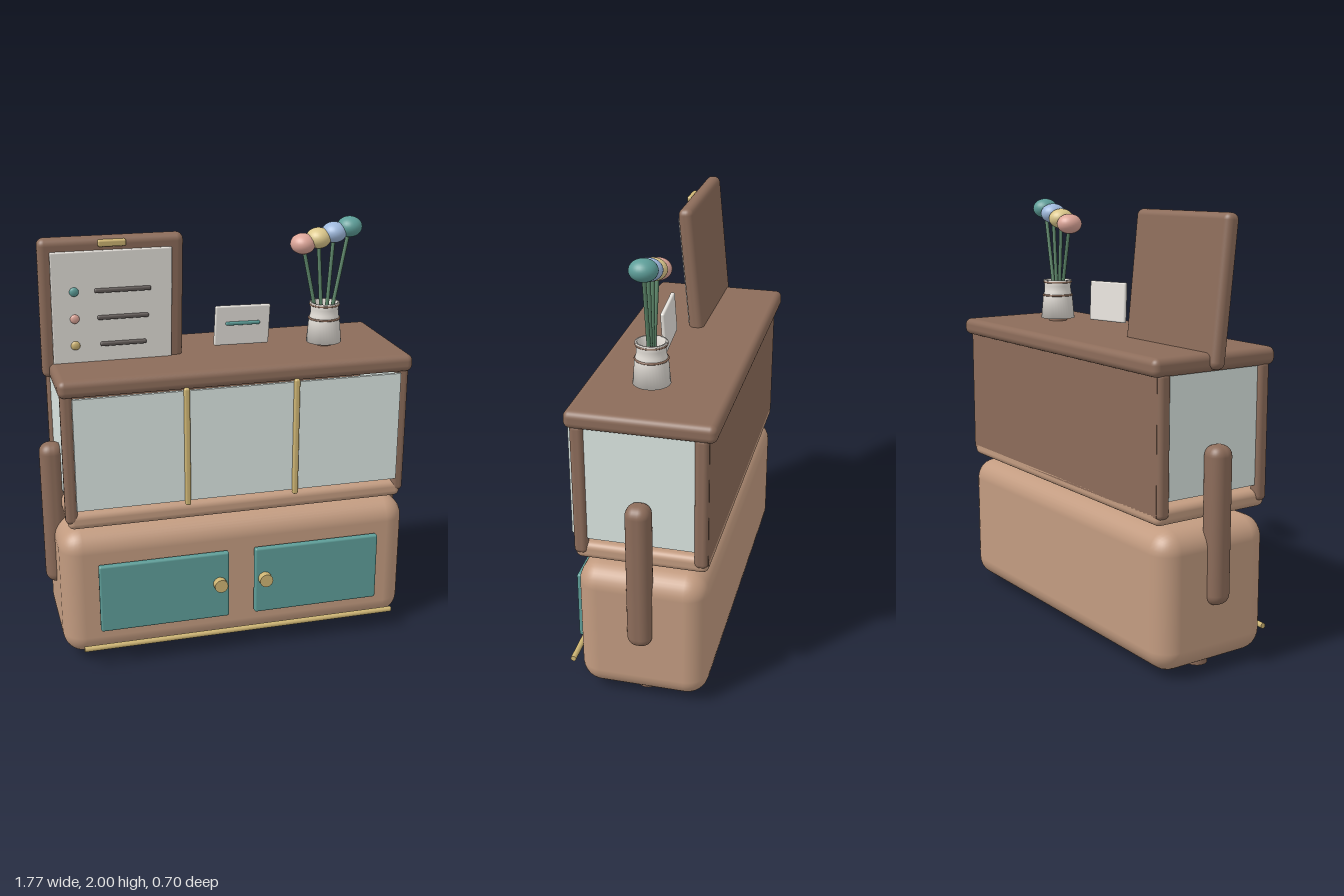
import * as THREE from 'three';
import { RoundedBoxGeometry } from 'three/addons/geometries/RoundedBoxGeometry.js';

const material = (color, side = THREE.FrontSide) => new THREE.MeshStandardMaterial({ color, side });
const MAT = {
  tan: material(0xc29b80), brown: material(0x8c6c5a), teal: material(0x5d9d98),
  glass: material(0xdae5e1), paper: material(0xe6e2dc), gold: material(0xcdb473),
  pink: material(0xdca598), yellow: material(0xdcc88c), blue: material(0x9fb9dc),
  green: material(0x5b8468), ink: material(0x625b58),
  ceramic: material(0xe4dfd8, THREE.DoubleSide),
};

function add(parent, name, geometry, mat, x = 0, y = 0, z = 0) {
  const mesh = new THREE.Mesh(geometry, mat);
  mesh.name = name;
  mesh.position.set(x, y, z);
  parent.add(mesh);
  return mesh;
}

// Rounded box given by its extents along each axis
function block(parent, name, mat, [x0, x1], [y0, y1], [z0, z1], radius) {
  const geometry = new RoundedBoxGeometry(x1 - x0, y1 - y0, z1 - z0, 4, radius);
  return add(parent, name, geometry, mat, (x0 + x1) / 2, (y0 + y1) / 2, (z0 + z1) / 2);
}

// Round rod between two points
function rod(parent, name, mat, a, b, radius) {
  const from = new THREE.Vector3(...a), to = new THREE.Vector3(...b);
  const dir = to.clone().sub(from);
  const mesh = add(parent, name, new THREE.CylinderGeometry(radius, radius, dir.length(), 16), mat);
  mesh.position.copy(from).add(to).multiplyScalar(0.5);
  mesh.quaternion.setFromUnitVectors(new THREE.Vector3(0, 1, 0), dir.normalize());
  return mesh;
}

function buildBase(root) {
  const g = new THREE.Group();
  g.name = 'baseCabinet';
  root.add(g);
  block(g, 'baseBody', MAT.tan, [-0.84, 0.84], [0.03, 0.66], [-0.317, 0.27], 0.1);
  rod(g, 'kickTrim', MAT.gold, [-0.76, 0.105, 0.32], [0.76, 0.105, 0.32], 0.013);
  for (const s of [-1, 1]) {
    block(g, 'door', MAT.teal, [s * 0.37 - 0.307, s * 0.37 + 0.307], [0.18, 0.515], [0.283, 0.315], 0.01);
    rod(g, 'doorKnob', MAT.gold, [s * 0.11, 0.36, 0.31], [s * 0.11, 0.36, 0.35], 0.032);
    add(g, 'foot', new THREE.CylinderGeometry(0.048, 0.048, 0.05, 24), MAT.brown, s * 0.705, 0.025, -0.024);
    block(g, 'sideArm', MAT.brown, s > 0 ? [0.775, 0.886] : [-0.886, -0.775], [0.31, 1.015], [-0.08, 0.032], 0.048);
  }
}

function buildDisplay(root) {
  const g = new THREE.Group();
  g.name = 'displayCase';
  root.add(g);
  block(g, 'caseFloor', MAT.tan, [-0.8, 0.8], [0.69, 0.77], [-0.317, 0.275], 0.03);
  block(g, 'counterTop', MAT.brown, [-0.82, 0.82], [1.322, 1.402], [-0.35, 0.3], 0.03);
  add(g, 'backWall', new THREE.BoxGeometry(1.58, 0.61, 0.03), MAT.brown, 0, 1.035, -0.302);
  for (const s of [-1, 1]) {
    for (const z of [0.246, -0.286])
      block(g, 'cornerPost', MAT.brown, [s * 0.782 - 0.028, s * 0.782 + 0.028], [0.72, 1.34], [z - 0.03, z + 0.03], 0.022);
    add(g, 'sideGlass', new THREE.BoxGeometry(0.016, 0.53, 0.48), MAT.glass, s * 0.785, 1.058, -0.02);
    block(g, 'mullion', MAT.gold, [s * 0.255 - 0.013, s * 0.255 + 0.013], [0.775, 1.335], [0.288, 0.314], 0.009);
  }
  // Three front panes, each with a shallow dish behind it
  for (const i of [-1, 0, 1]) {
    add(g, 'frontGlass', new THREE.BoxGeometry(0.508, 0.525, 0.016), MAT.glass, i * 0.507, 1.056, 0.287);
    add(g, 'dish', new THREE.CylinderGeometry(0.13, 0.12, 0.022, 32), MAT.brown, i * 0.5, 0.783, 0.01);
  }
}

function buildBoard(root) {
  // Leaning board, built upright about its own centre
  const g = new THREE.Group();
  g.name = 'noticeBoard';
  g.position.set(-0.527, 1.652, -0.005);
  g.rotation.x = 0.1;
  root.add(g);
  block(g, 'boardFrame', MAT.brown, [-0.323, 0.323], [-0.322, 0.322], [-0.035, 0.035], 0.03);
  block(g, 'boardSheet', MAT.paper, [-0.273, 0.267], [-0.272, 0.268], [0.03, 0.048], 0.006);
  block(g, 'boardClip', MAT.gold, [-0.062, 0.062], [0.284, 0.314], [0.025, 0.05], 0.008);
  [MAT.teal, MAT.pink, MAT.gold].forEach((mat, i) => {
    const y = 0.088 - i * 0.126, half = 0.127 - i * 0.011;
    add(g, 'boardDot', new THREE.SphereGeometry(0.021, 20, 14), mat, -0.173, y, 0.05).scale.z = 0.6;
    block(g, 'boardLine', MAT.ink, [0.044 - half, 0.044 + half], [y - 0.01, y + 0.01], [0.042, 0.06], 0.008);
  });
}

function buildCard(root) {
  const g = new THREE.Group();
  g.name = 'counterCard';
  g.position.set(0.07, 1.53, 0.032);
  g.rotation.set(0.06, 0.06, -0.035);
  root.add(g);
  block(g, 'cardSheet', MAT.paper, [-0.133, 0.133], [-0.094, 0.094], [-0.01, 0.01], 0.008);
  block(g, 'cardLine', MAT.teal, [-0.083, 0.083], [0.003, 0.02], [0.005, 0.02], 0.007);
}

function buildVase(root) {
  const g = new THREE.Group();
  g.name = 'flowerVase';
  g.position.set(0.48, 0, 0.005);
  root.add(g);
  add(g, 'vaseFoot', new THREE.CylinderGeometry(0.045, 0.045, 0.04, 28), MAT.brown, 0, 1.405, 0);
  const profile = [[0, 1.416], [0.083, 1.416], [0.073, 1.525], [0.066, 1.55], [0.065, 1.575],
    [0.071, 1.605], [0.06, 1.605], [0.055, 1.55], [0.05, 1.47], [0, 1.465]];
  add(g, 'vaseBody', new THREE.LatheGeometry(profile.map(p => new THREE.Vector2(...p)), 36), MAT.ceramic);
  for (const [r, y] of [[0.071, 1.53], [0.067, 1.595]])
    add(g, 'vaseBand', new THREE.TorusGeometry(r, 0.005, 8, 36), MAT.brown, 0, y, 0).rotation.x = Math.PI / 2;
  // Flowers fan out and rise to one side
  [MAT.pink, MAT.yellow, MAT.blue, MAT.teal].forEach((mat, i) => {
    const x = -0.114 + i * 0.075, y = 1.885 + i * 0.023;
    rod(g, 'stem', MAT.green, [-0.024 + i * 0.014, 1.47, 0], [x, y, 0], 0.009);
    add(g, 'blossom', new THREE.SphereGeometry(0.06, 28, 20), mat, x, y, 0).scale.set(0.97, 0.8, 1.03);
  });
}

export function createModel() {
  const root = new THREE.Group();
  root.name = 'serviceCounter';
  buildBase(root);
  buildDisplay(root);
  buildBoard(root);
  buildCard(root);
  buildVase(root);
  return root;
}
